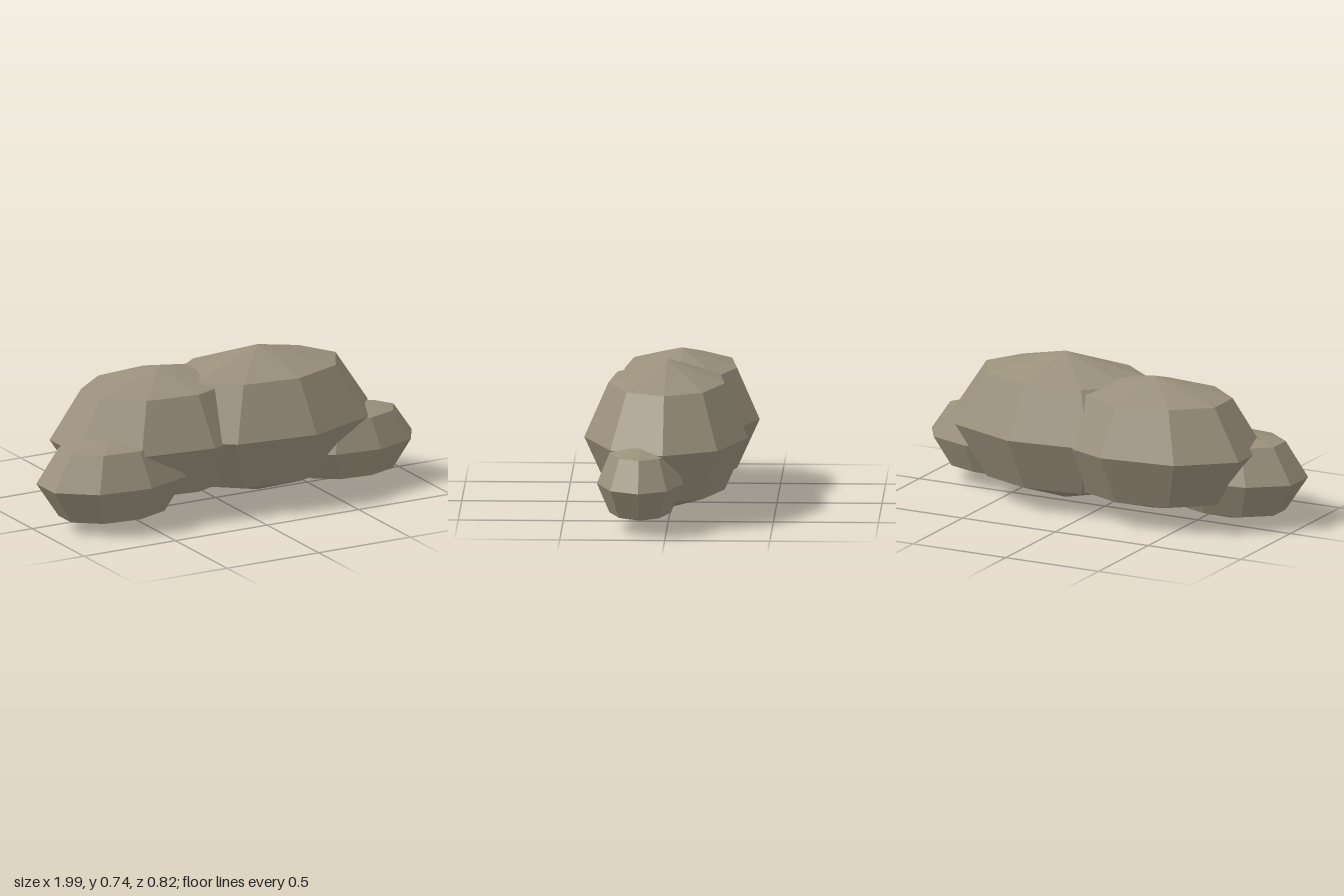
import * as THREE from 'three';

// Faceted boulder: nine-sided, with a pole at each end and three rings between
function boulder(name, [x, y, z], [rx, ry, rz], ringHeight, material) {
  const profile = [[0, -1], [0.71, -ringHeight], [1, 0], [0.71, ringHeight], [0, 1]]
    .map(([r, h]) => new THREE.Vector2(r, h));
  // start at +x so one corner points to the model's left
  const geometry = new THREE.LatheGeometry(profile, 9, Math.PI / 2);
  geometry.scale(rx, ry, rz);
  const mesh = new THREE.Mesh(geometry, material);
  mesh.name = name;
  mesh.position.set(x, y, z);
  return mesh;
}

export function createModel() {
  const group = new THREE.Group();
  group.name = 'rockCluster';
  const stone = new THREE.MeshStandardMaterial({ color: 0x9a907c, flatShading: true });
  stone.name = 'stone';

  group.add(
    // two large overlapping boulders
    boulder('mainBoulder', [0.22, 0.377, 0.016], [0.6, 0.362, 0.396], 0.71, stone),
    boulder('rearBoulder', [-0.29, 0.371, -0.037], [0.555, 0.327, 0.38], 0.74, stone),
    // small boulders at the two ends
    boulder('rightSmallBoulder', [-0.62, 0.232, 0.11], [0.395, 0.229, 0.255], 0.74, stone),
    boulder('leftSmallBoulder', [0.655, 0.225, 0.127], [0.345, 0.191, 0.209], 0.75, stone),
  );
  return group;
}
